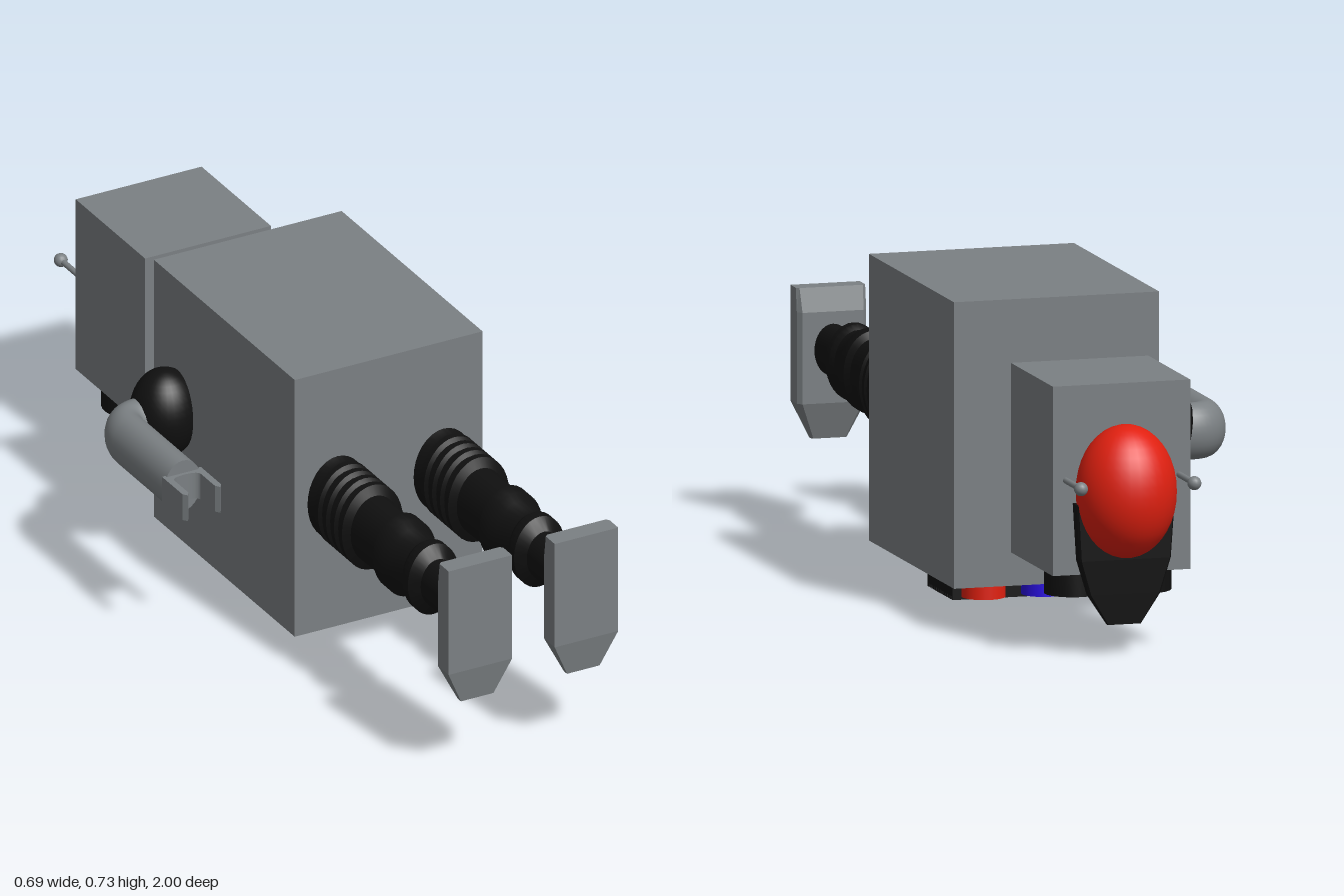
import * as THREE from 'three';
import { toCreasedNormals } from 'three/addons/utils/BufferGeometryUtils.js';

const mat = (color) => new THREE.MeshStandardMaterial({ color, side: THREE.DoubleSide });
const STEEL = mat(0x7b8083), BLACK = mat(0x101010), RED = mat(0xe02010);
const BLUE = mat(0x2a10e0), YELLOW = mat(0xc8e010), AMBER = mat(0xc8a010), PALE = mat(0xcccccc);
const CX = 0.105;      // body centre line
const AXIS_Y = 0.402;  // height of neck, leg and shoulder axes
const DEPTH = 1.36;    // round parts are stretched in y

export function createModel() {
  const root = new THREE.Group();

  const add = (name, geo, material, x = 0, y = 0, z = 0, parent = root) => {
    const m = new THREE.Mesh(geo, material);
    m.name = name;
    m.position.set(x, y, z);
    parent.add(m);
    return m;
  };
  const box = (name, material, x0, x1, y0, y1, z0, z1) =>
    add(name, new THREE.BoxGeometry(x1 - x0, y1 - y0, z1 - z0), material,
      (x0 + x1) / 2, (y0 + y1) / 2, (z0 + z1) / 2);

  // Turned part along z from [z, radius] pairs
  const turned = (name, profile, x) => {
    const geo = new THREE.LatheGeometry(profile.map(([z, r]) => new THREE.Vector2(r, z)), 32);
    geo.rotateX(Math.PI / 2);
    add(name, toCreasedNormals(geo, 0.5), BLACK, x, AXIS_Y, 0).scale.y = DEPTH;
  };
  // Bellows: evenly spaced rounded ribs between z0 and z1
  const ribs = (z0, z1, count, low, high) => {
    const out = [], step = (z1 - z0) / count;
    for (let i = 0; i < count; i++) {
      const z = z0 + i * step;
      out.push([z, low], [z + step * 0.25, low], [z + step * 0.42, high], [z + step * 0.85, high]);
    }
    return out;
  };

  // Chamfered slab from sections [y, halfWidth, innerHalfWidth, zFront, zChamfer, zBack], rising in y
  const slab = (sections) => {
    const rings = sections.map(([y, w, wi, z1, zc, z0]) =>
      [[-w, z1], [w, z1], [w, zc], [wi, z0], [-wi, z0], [-w, zc]].map(([x, z]) => [x, y, z]));
    const pos = [];
    const tri = (a, b, c) => pos.push(...a, ...b, ...c);
    for (let s = 0; s < rings.length - 1; s++) {
      const a = rings[s], b = rings[s + 1];
      for (let i = 0; i < 6; i++) {
        const j = (i + 1) % 6;
        tri(a[i], a[j], b[j]);
        tri(a[i], b[j], b[i]);
      }
    }
    const bottom = rings[0], top = rings[rings.length - 1];
    for (let i = 1; i < 5; i++) {
      tri(bottom[0], bottom[i + 1], bottom[i]);
      tri(top[0], top[i], top[i + 1]);
    }
    const geo = new THREE.BufferGeometry();
    geo.setAttribute('position', new THREE.Float32BufferAttribute(pos, 3));
    geo.computeVertexNormals();
    return geo;
  };

  // Torso and head
  box('torso', STEEL, -0.14, 0.345, 0.072, 0.73, -0.33, 0.33);
  box('head', STEEL, -0.055, 0.27, 0.185, 0.62, -0.85, -0.525);

  // Chest panel with fine grille ridges
  box('chestPanel', BLACK, -0.055, 0.272, 0.008, 0.075, -0.08, 0.115);
  for (let i = 0; i < 14; i++) {
    const z = -0.08 + i * 0.0142;
    box('grilleRidge', BLACK, -0.055, 0.272, 0, 0.01, z, z + 0.008);
  }

  // Chest buttons
  [[0.24, RED], [0.099, BLUE], [-0.042, YELLOW]].forEach(([x, m]) =>
    add('button', new THREE.CylinderGeometry(0.05, 0.05, 0.045, 32), m, x, 0.0525, -0.215));

  // Neck
  turned('neck', [[-0.53, 0.08], [-0.465, 0.08], ...ribs(-0.465, -0.36, 3, 0.071, 0.079),
    [-0.36, 0.068], [-0.32, 0.068]], CX);

  // Legs and feet
  const leg = [[0.32, 0.08], ...ribs(0.35, 0.5, 4, 0.071, 0.079), [0.505, 0.062], [0.61, 0.06],
    [0.625, 0.071], [0.665, 0.071], [0.685, 0.062], [0.74, 0.058], [0.755, 0.066],
    [0.78, 0.066], [0.8, 0.044], [0.945, 0.044]];
  const foot = slab([
    [0.195, 0.042, 0.038, 0.985, 0.97, 0.966],
    [0.28, 0.082, 0.072, 1, 0.95, 0.938],
    [0.49, 0.082, 0.072, 1, 0.95, 0.938],
    [0.545, 0.082, 0.075, 1, 0.958, 0.952]]);
  [-0.03, 0.244].forEach((x) => {
    turned('leg', leg, x);
    add('foot', foot, STEEL, x);
  });

  // Cap dome and its tapering peak
  add('capDome', new THREE.SphereGeometry(0.115, 32, 20), RED, 0.107, 0.378, -0.885).scale.y = 1.33;
  add('capPeak', slab([
    [0.07, 0.04, 0.038, -0.862, -0.868, -0.872],
    [0.14, 0.085, 0.08, -0.855, -0.872, -0.877],
    [0.22, 0.108, 0.104, -0.85, -0.876, -0.882],
    [0.35, 0.116, 0.112, -0.85, -0.88, -0.885]]), BLACK, 0.107);

  // Mirrored antennas and eyes
  const eyeRing = new THREE.LatheGeometry(
    [[0.045, 0.045], [0.045, 0], [0.065, 0], [0.065, 0.065]].map(([r, y]) => new THREE.Vector2(r, y)), 32);
  [-1, 1].forEach((s) => {
    const ax = CX + s * 0.134;
    const rod = add('antennaRod', new THREE.CylinderGeometry(0.007, 0.007, 0.13, 12), STEEL, ax, 0.403, -0.9);
    rod.rotation.x = Math.PI / 2;
    add('antennaTip', new THREE.SphereGeometry(0.016, 16, 12), STEEL, ax, 0.403, -0.967);

    const eye = new THREE.Group();
    eye.name = 'eye';
    eye.position.set(0.107 + s * 0.083, 0.125, -0.74);
    root.add(eye);
    add('eyeRing', toCreasedNormals(eyeRing, 0.6), BLACK, 0, 0, 0, eye);
    add('iris', new THREE.CylinderGeometry(0.046, 0.046, 0.02, 32), AMBER, 0, 0.035, 0, eye);
    add('pupil', new THREE.CylinderGeometry(0.028, 0.028, 0.02, 24), BLACK, 0, 0.025, 0, eye);
    add('eyeGlint', new THREE.SphereGeometry(0.014, 16, 12), PALE, 0, 0.014, 0, eye);
  });

  // Mouth plate with teeth
  box('mouth', BLACK, 0, 0.214, 0.168, 0.19, -0.622, -0.56);
  for (let i = 0; i < 4; i++) {
    const x = 0.018 + i * 0.05;
    box('tooth', STEEL, x, x + 0.028, 0.165, 0.175, -0.606, -0.576);
  }

  // Single arm: shoulder ball, bent tube and open claw
  add('shoulder', new THREE.SphereGeometry(0.08, 32, 20), BLACK, -0.175, AXIS_Y, -0.217).scale.y = DEPTH;
  const path = new THREE.CurvePath();
  const p = (x, z) => new THREE.Vector3(x, 0, z);
  path.add(new THREE.LineCurve3(p(-0.19, -0.218), p(-0.245, -0.218)));
  path.add(new THREE.QuadraticBezierCurve3(p(-0.245, -0.218), p(-0.295, -0.215), p(-0.295, -0.16)));
  path.add(new THREE.LineCurve3(p(-0.295, -0.16), p(-0.295, 0.085)));
  add('arm', new THREE.TubeGeometry(path, 48, 0.048, 28), STEEL, 0, 0.385, 0).scale.y = DEPTH;
  const cap = add('wrist', new THREE.CylinderGeometry(0.048, 0.048, 0.012, 28), STEEL, -0.295, 0.385, 0.081);
  cap.rotation.x = Math.PI / 2;
  cap.scale.z = DEPTH;

  const claw = new THREE.Shape();
  claw.moveTo(-0.05, 0.08);
  claw.lineTo(0.05, 0.08);
  claw.lineTo(0.05, 0.175);
  claw.lineTo(0.042, 0.187);
  claw.lineTo(0.034, 0.175);
  claw.lineTo(0.034, 0.11);
  claw.quadraticCurveTo(0.032, 0.095, 0, 0.095);
  claw.quadraticCurveTo(-0.032, 0.095, -0.034, 0.11);
  claw.lineTo(-0.034, 0.175);
  claw.lineTo(-0.042, 0.187);
  claw.lineTo(-0.05, 0.175);
  const clawGeo = new THREE.ExtrudeGeometry(claw, { depth: 0.066, bevelEnabled: false });
  clawGeo.rotateX(Math.PI / 2);
  add('claw', clawGeo, STEEL, -0.295, 0.418, 0);

  return root;
}
